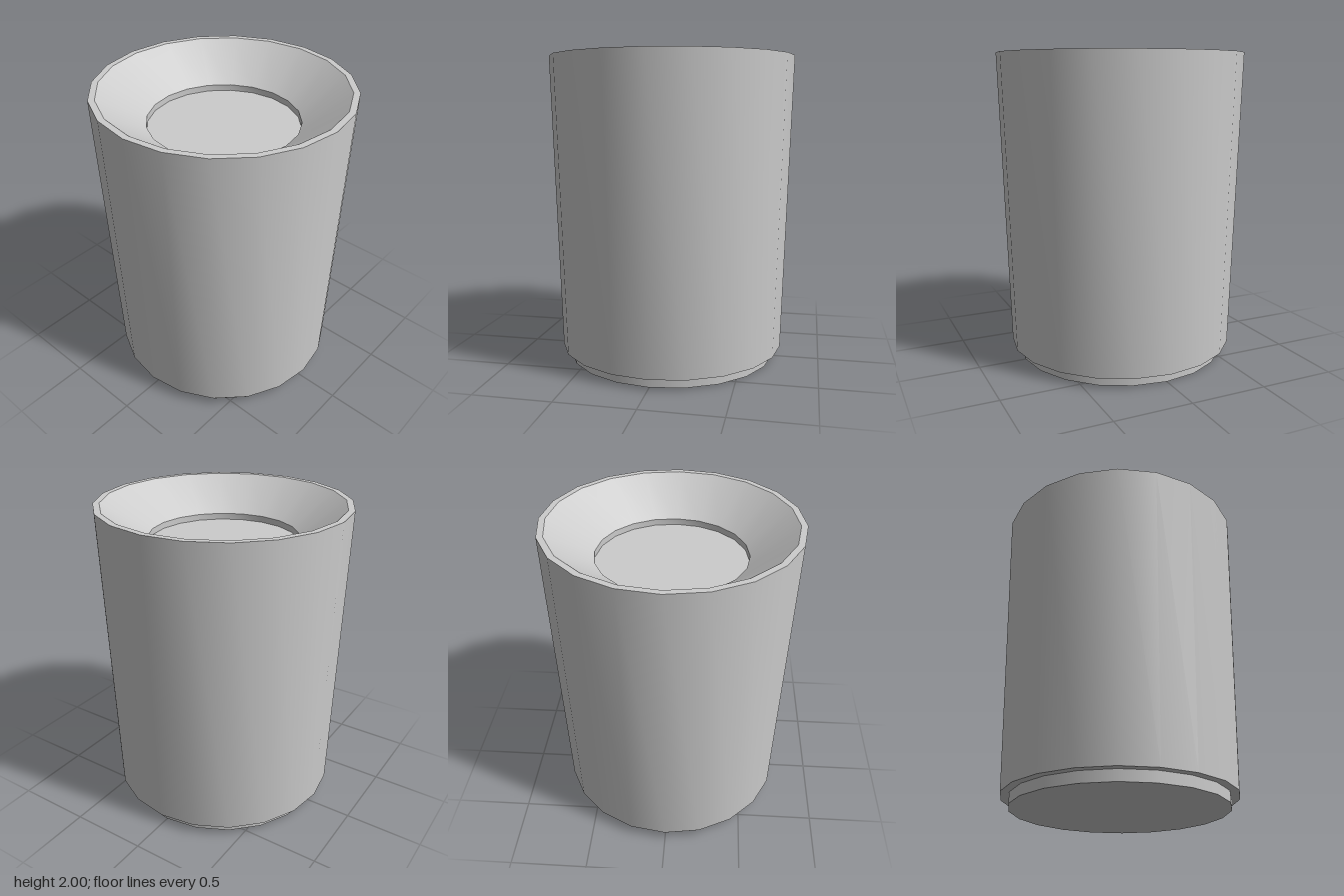
import * as THREE from 'three';
import { toCreasedNormals } from 'three/addons/utils/BufferGeometryUtils.js';

const SIDES = 20;

export function createModel() {
  const group = new THREE.Group();
  group.name = 'taperedPot';
  const material = new THREE.MeshStandardMaterial({ color: 0xcccccc });

  function add(name, geometry, y = 0) {
    const mesh = new THREE.Mesh(geometry, material);
    mesh.name = name;
    mesh.position.y = y;
    group.add(mesh);
    return mesh;
  }

  // Shell: underside lip, tapered wall, rim, sloping funnel and short inner wall
  const profile = [
    [0.68, 0.07], [0.745, 0.07], [0.8, 2], [0.76, 2], [0.475, 1.79], [0.475, 1.75],
  ].map(([r, y]) => new THREE.Vector2(r, y));
  add('potShell', toCreasedNormals(new THREE.LatheGeometry(profile, SIDES), Math.PI / 6));

  // Recessed foot
  add('foot', new THREE.CylinderGeometry(0.69, 0.69, 0.07, SIDES), 0.035);

  // Flat floor at the bottom of the funnel
  add('innerFloor', new THREE.CircleGeometry(0.475, SIDES).rotateX(-Math.PI / 2), 1.75);

  return group;
}
